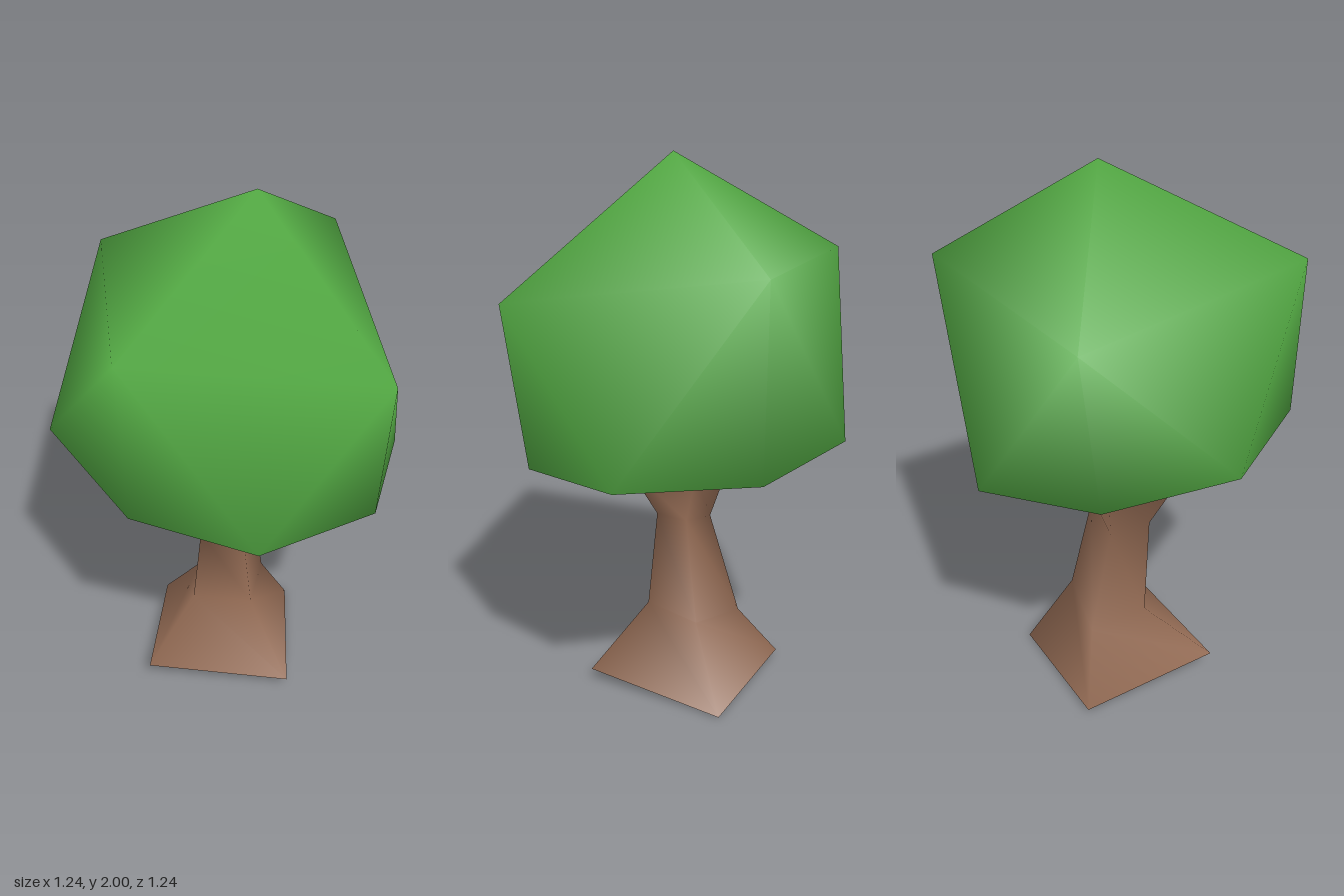
import * as THREE from 'three';

const leafGreen = new THREE.MeshStandardMaterial({ color: 0x54ab44 });
leafGreen.name = 'leafGreen';
const barkBrown = new THREE.MeshStandardMaterial({ color: 0x926a53 });
barkBrown.name = 'barkBrown';
const branchBrown = barkBrown;

// Crown corners: tip, four shoulders, eight rim corners, underside centre
const tip = [0.05, 2, -0.06];
const shoulders = [[0.62, 1.53, 0.13], [-0.1, 1.69, 0.62], [-0.62, 1.63, -0.175], [0.11, 1.67, -0.62]];
const rim = [
  [0.57, 0.96, 0.07], [0.32, 1.01, 0.49], [-0.09, 1.11, 0.61], [-0.56, 1.14, 0.34],
  [-0.6, 1.06, -0.11], [-0.37, 1.02, -0.5], [0.04, 0.96, -0.535], [0.5, 0.98, -0.33],
];
const under = [0, 0.79, 0];

// Trunk cross-sections from the foot to the flare inside the crown
const trunkRings = [
  [[0.295, 0.045, 0.14], [-0.21, 0.09, 0.345], [-0.4, 0.02, -0.15], [0.07, 0, -0.36]],
  [[0.09, 0.31, 0.045], [-0.14, 0.28, 0.09], [-0.22, 0.25, -0.12], [0.035, 0.3, -0.18]],
  [[0.05, 0.67, 0.04], [-0.09, 0.65, 0.11], [-0.14, 0.64, -0.04], [0.02, 0.68, -0.1]],
  [[0.16, 0.88, 0.09], [-0.17, 0.94, 0.24], [-0.27, 0.95, -0.06], [0.035, 0.88, -0.17]],
];

function mesh(name, points, index, material) {
  const g = new THREE.BufferGeometry();
  g.setAttribute('position', new THREE.Float32BufferAttribute(points.flat(), 3));
  g.setIndex(index);
  g.computeVertexNormals();
  const m = new THREE.Mesh(g, material);
  m.name = name;
  return m;
}

function crown() {
  const points = [tip, ...shoulders, ...rim, under];
  const index = [];
  const U = (i) => 1 + (i % 4);
  const R = (i) => 5 + (i % 8);
  for (let i = 0; i < 4; i++) {
    const m = 2 * i;
    index.push(0, U(i + 1), U(i)); // roof
    index.push(R(m), U(i), R(m + 1), R(m + 1), U(i), U(i + 1), R(m + 1), U(i + 1), R(m + 2)); // sides
    index.push(13, R(m), R(m + 1), 13, R(m + 1), R(m + 2)); // underside
  }
  return mesh('crown', points, index, leafGreen);
}

function trunk() {
  const index = [];
  for (let k = 0; k < trunkRings.length - 1; k++) {
    for (let i = 0; i < 4; i++) {
      const j = (i + 1) % 4;
      const a = 4 * k + i, d = 4 * k + j;
      index.push(a, a + 4, d + 4, a, d + 4, d);
    }
  }
  return mesh('trunk', trunkRings.flat(), index, barkBrown);
}

// Point on the crown's underside: t runs round the rim, f from centre to rim
function underside(t, f) {
  const i = Math.floor(t), s = t - i;
  const a = rim[(i + 8) % 8], b = rim[(i + 9) % 8];
  return under.map((u, n) => u + f * (a[n] + (b[n] - a[n]) * s - u) - (n === 1 ? 0.006 : 0));
}

// Tapering thin branch lying on the underside, from [t, f] to [t, f]
function branch([t0, f0], [t1, f1], w0, w1) {
  const points = [], index = [], steps = 6;
  for (let k = 0; k <= steps; k++) {
    const s = k / steps;
    const t = t0 + (t1 - t0) * s, f = f0 + (f1 - f0) * s;
    const dt = (w0 + (w1 - w0) * s) / (f * 0.45);
    points.push(underside(t - dt, f), underside(t + dt, f));
    if (k < steps) {
      const a = 2 * k;
      index.push(a, a + 2, a + 3, a, a + 3, a + 1);
    }
  }
  return mesh('branch', points, index, branchBrown);
}

export function createModel() {
  const tree = new THREE.Group();
  tree.name = 'tree';
  barkBrown.side = THREE.DoubleSide;
  tree.add(crown(), trunk());
  tree.add(mesh('trunkFoot', trunkRings[0], [0, 1, 2, 0, 2, 3], barkBrown));

  const branches = new THREE.Group();
  branches.name = 'branches';
  [
    [[2.75, 0.3], [2.6, 0.7], 0.05, 0.025], [[2.6, 0.68], [2.72, 0.92], 0.025, 0.015],
    [[2.6, 0.62], [2.35, 0.78], 0.02, 0.008],
    [[1.85, 0.3], [1.75, 0.75], 0.05, 0.025], [[1.75, 0.72], [1.6, 0.92], 0.03, 0.015],
    [[1.72, 0.7], [1.35, 0.78], 0.02, 0.008],
    [[7, 0.25], [7, 0.7], 0.05, 0.028], [[7, 0.66], [7.2, 0.85], 0.025, 0.01],
    [[7, 0.66], [6.8, 0.82], 0.022, 0.01],
    [[6, 0.25], [6.05, 0.66], 0.045, 0.015],
    [[4.6, 0.25], [4.4, 0.6], 0.05, 0.022], [[4.4, 0.58], [4.6, 0.78], 0.022, 0.01],
    [[1.1, 0.2], [1, 0.6], 0.045, 0.012],
  ].forEach((b) => branches.add(branch(...b)));
  tree.add(branches);
  return tree;
}
